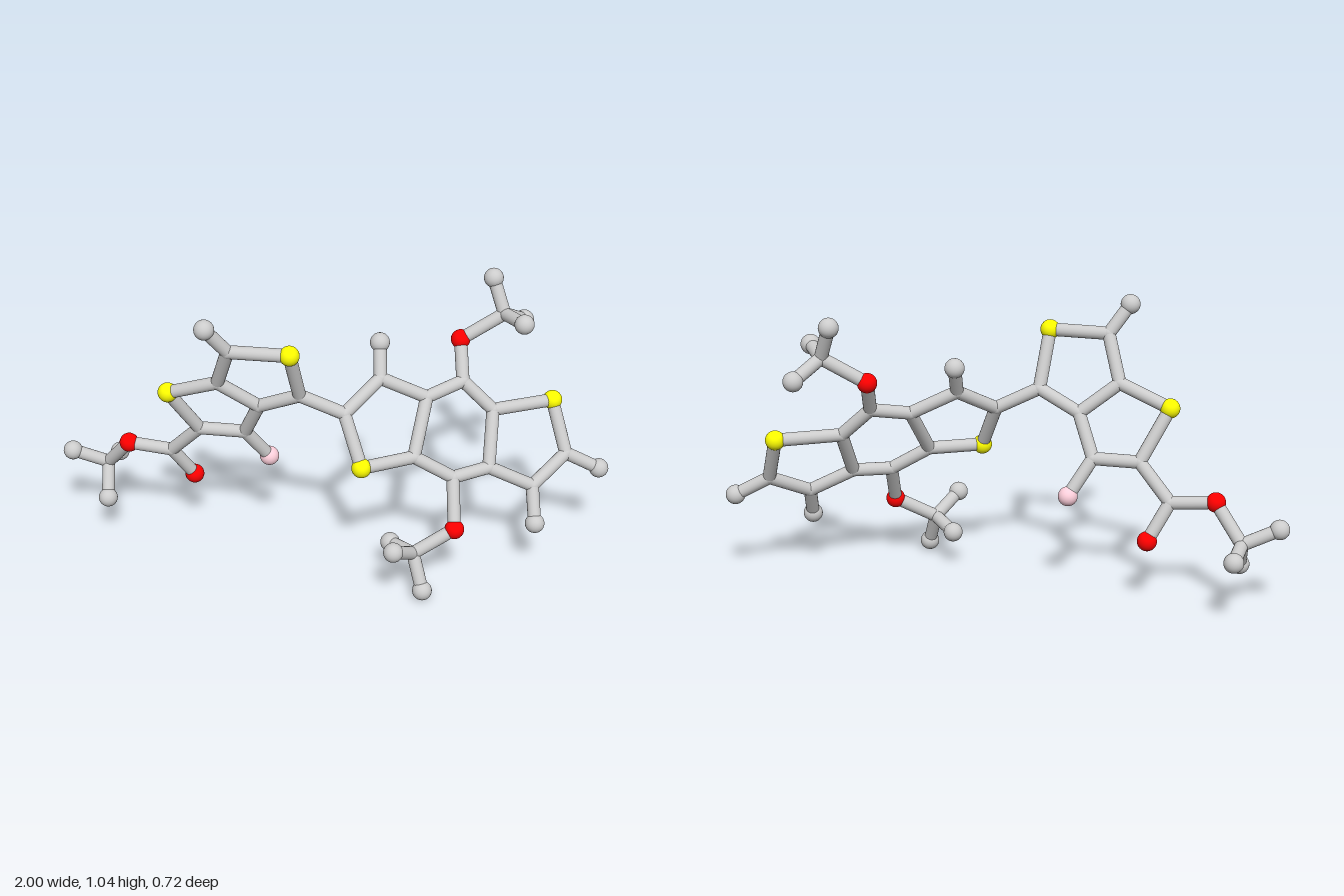
import * as THREE from 'three';

const BALL = 0.035, JOINT = 0.0245, STICK = 0.0235;

// Atom: [x, y, z, kind]; no kind means a bare joint between sticks
const atoms = {
  // left fused pair of five-sided rings
  a1: [-0.355, 0.905, 0.13], a2: [-0.145, 0.907, 0.16, 'sulfur'], a3: [-0.115, 0.71, 0.08],
  a4: [-0.26, 0.64, 0.03], a5: [-0.4, 0.745, 0.055], a6: [-0.58, 0.675, 0, 'sulfur'],
  a7: [-0.48, 0.495, -0.063], a8: [-0.315, 0.495, -0.04],
  a9: [-0.428, 1.005, 0.163, 'hydrogen'], a10: [-0.232, 0.367, -0.085, 'fluorine'],
  // ester tail
  e1: [-0.59, 0.37, -0.12], e2: [-0.515, 0.24, -0.163, 'oxygen'], e3: [-0.748, 0.385, -0.142, 'oxygen'],
  e4: [-0.84, 0.26, -0.213], e5: [-0.967, 0.315, -0.2, 'hydrogen'],
  e6: [-0.838, 0.155, -0.127, 'hydrogen'], e7: [-0.812, 0.236, -0.325, 'hydrogen'],
  // right row of three fused rings
  b1: [0.04, 0.635, 0.073], b2: [0.1, 0.468, 0.162, 'sulfur'], b3: [0.285, 0.47, 0.089],
  b4: [0.33, 0.64, -0.04], b5: [0.165, 0.72, -0.03], b6: [0.46, 0.668, -0.108],
  b7: [0.57, 0.565, -0.084], b8: [0.555, 0.395, 0.033], b9: [0.425, 0.388, 0.09],
  b10: [0.79, 0.562, -0.163, 'sulfur'], b11: [0.84, 0.392, -0.074], b12: [0.715, 0.315, 0.025],
  b13: [0.163, 0.825, -0.1, 'hydrogen'], b14: [0.965, 0.325, -0.08, 'hydrogen'],
  b15: [0.724, 0.2, 0.098, 'hydrogen'],
  // upper methoxy arm
  u1: [0.452, 0.79, -0.195, 'oxygen'], u2: [0.605, 0.88, -0.218], u3: [0.565, 0.998, -0.265, 'hydrogen'],
  u4: [0.665, 0.897, -0.1, 'hydrogen'], u5: [0.685, 0.817, -0.3, 'hydrogen'],
  // lower methoxy arm
  l1: [0.43, 0.235, 0.192, 'oxygen'], l2: [0.285, 0.157, 0.228], l3: [0.212, 0.224, 0.323, 'hydrogen'],
  l4: [0.206, 0.134, 0.125, 'hydrogen'], l5: [0.318, 0.036, 0.285, 'hydrogen'],
};

// Each chain lists atoms joined one after the other
const chains = {
  leftRings: ['a3 a2 a1 a5 a6 a7 a8 a4 a3', 'a4 a5', 'a1 a9', 'a8 a10'],
  linkBond: ['a3 b1'],
  esterTail: ['a7 e1 e3 e4 e5', 'e1 e2', 'e6 e4 e7'],
  rightRings: ['b1 b2 b3 b4 b5 b1', 'b4 b6 b7 b8 b9 b3', 'b7 b10 b11 b12 b8', 'b5 b13', 'b11 b14', 'b12 b15'],
  upperMethoxy: ['b6 u1 u2 u3', 'u4 u2 u5'],
  lowerMethoxy: ['b9 l1 l2 l3', 'l4 l2 l5'],
};

export function createModel() {
  const model = new THREE.Group();
  model.name = 'molecule';
  const paint = (color) => new THREE.MeshStandardMaterial({ color });
  const grey = paint(0xcccccc);
  const materials = {
    hydrogen: grey, sulfur: paint(0xffff00), oxygen: paint(0xff0000), fluorine: paint(0xffd0dc),
  };
  const ballGeometry = new THREE.SphereGeometry(BALL, 28, 18);
  const jointGeometry = new THREE.SphereGeometry(JOINT, 20, 14);
  const stickGeometry = new THREE.CylinderGeometry(STICK, STICK, 1, 20, 1, true);
  const up = new THREE.Vector3(0, 1, 0);
  const position = (id) => new THREE.Vector3(...atoms[id].slice(0, 3));

  // balls and joints
  const balls = new THREE.Group();
  balls.name = 'atoms';
  model.add(balls);
  for (const id of Object.keys(atoms)) {
    const kind = atoms[id][3];
    const ball = new THREE.Mesh(kind ? ballGeometry : jointGeometry, kind ? materials[kind] : grey);
    ball.name = kind ? kind + 'Atom' : 'carbonJoint';
    ball.position.copy(position(id));
    balls.add(ball);
  }

  // sticks between neighbouring atoms
  for (const [name, list] of Object.entries(chains)) {
    const group = new THREE.Group();
    group.name = name;
    model.add(group);
    for (const chain of list) {
      const ids = chain.split(' ');
      for (let i = 1; i < ids.length; i++) {
        const from = position(ids[i - 1]), to = position(ids[i]);
        const along = to.clone().sub(from);
        const stick = new THREE.Mesh(stickGeometry, grey);
        stick.name = 'bond';
        stick.position.copy(from).lerp(to, 0.5);
        stick.scale.y = along.length();
        stick.quaternion.setFromUnitVectors(up, along.normalize());
        group.add(stick);
      }
    }
  }
  return model;
}
